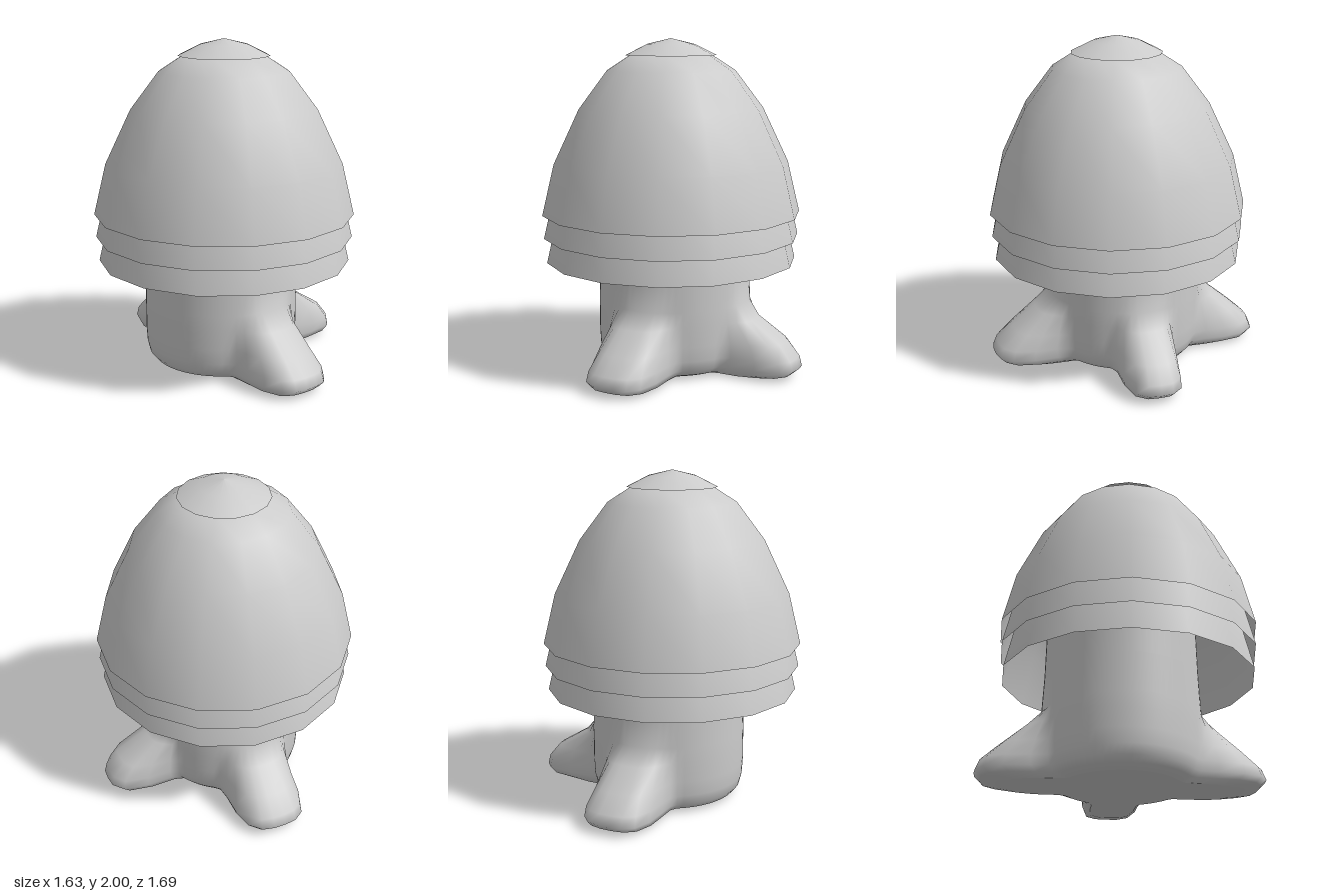
import * as THREE from 'three';

const material = new THREE.MeshStandardMaterial({ color: 0xcccccc, side: THREE.DoubleSide });

// Open faceted dome, smooth shaded
function dome(name, profile, scale, drop) {
  const points = profile.map(([r, y]) => new THREE.Vector2(r * scale, y - drop));
  const mesh = new THREE.Mesh(new THREE.LatheGeometry(points, 15), material);
  mesh.name = name;
  mesh.position.set(-0.03, 0, 0.04);
  return mesh;
}

// Roots: direction (0 = +z, toward +x), angular spread, column of the reach table
const roots = [
  { angle: 0.03, spread: 0.36, reach: 2 },
  { angle: Math.PI / 2, spread: 0.29, reach: 3 },
  { angle: Math.PI - 0.03, spread: 0.36, reach: 2 },
];

// Trunk levels: height, trunk radius, front/back root reach, side root reach
const levels = [
  [0, 0.36, 0.66, 0.66],
  [0.025, 0.42, 0.81, 0.80],
  [0.06, 0.45, 0.845, 0.84],
  [0.12, 0.465, 0.82, 0.825],
  [0.21, 0.47, 0.72, 0.75],
  [0.33, 0.47, 0.575, 0.555],
  [0.42, 0.47, 0.475, 0.475],
  [0.66, 0.462, 0.462, 0.462],
  [1.2, 0.45, 0.45, 0.45],
];

// Trunk radius at an angle, swelling out along each root
function radiusAt(level, angle) {
  let r = level[1];
  for (const root of roots) {
    const d = Math.atan2(Math.sin(angle - root.angle), Math.cos(angle - root.angle));
    r += (level[root.reach] - level[1]) * Math.exp(-Math.pow(d / root.spread, 4));
  }
  return r;
}

function trunkGeometry() {
  const sides = 72, positions = [], index = [];
  const ring = (level) => {
    for (let i = 0; i < sides; i++) {
      const a = (i / sides) * Math.PI * 2, r = radiusAt(level, a);
      positions.push(r * Math.sin(a), level[0], r * Math.cos(a));
    }
  };
  levels.forEach(ring);
  for (let j = 0; j < levels.length - 1; j++) {
    for (let i = 0; i < sides; i++) {
      const a = j * sides + i, b = j * sides + (i + 1) % sides;
      index.push(a, b, b + sides, a, b + sides, a + sides);
    }
  }
  // Flat sole with its own ring for a crisp edge
  const start = positions.length / 3;
  ring(levels[0]);
  positions.push(0, 0, 0);
  for (let i = 0; i < sides; i++) index.push(start + sides, start + (i + 1) % sides, start + i);

  const geometry = new THREE.BufferGeometry();
  geometry.setAttribute('position', new THREE.Float32BufferAttribute(positions, 3));
  geometry.setIndex(index);
  geometry.computeVertexNormals();
  return geometry;
}

export function createModel() {
  const group = new THREE.Group();
  group.name = 'tree';

  const trunk = new THREE.Mesh(trunkGeometry(), material);
  trunk.name = 'trunkWithRoots';
  trunk.position.x = -0.025;
  group.add(trunk);

  // Three nested foliage shells and the crown on top
  const shell = [[0.79, 0.95], [0.715, 1.26], [0.56, 1.585], [0.39, 1.81], [0.25, 1.9], [0, 1.96]];
  group.add(
    dome('upperFoliage', shell, 1, 0),
    dome('middleFoliage', shell, 0.99, 0.14),
    dome('lowerFoliage', shell, 0.97, 0.29),
    dome('crown', [[0.275, 1.9], [0.145, 1.965], [0, 2]], 1, 0),
  );
  return group;
}
